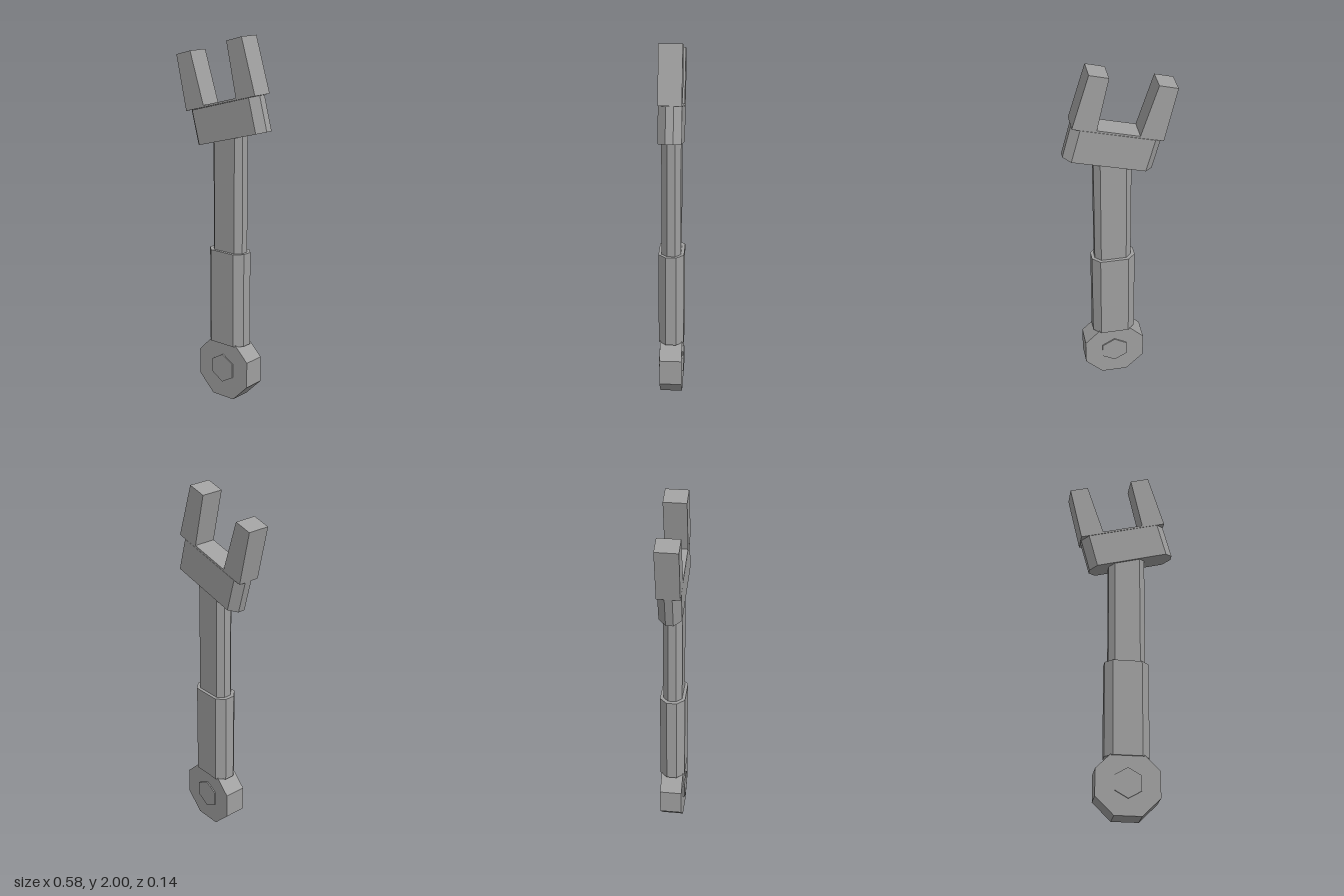
import * as THREE from 'three';

export function createModel() {
  const grey = new THREE.MeshStandardMaterial({ color: 0xa0a0a0 });
  grey.name = 'grey metal';
  const model = new THREE.Group();
  model.name = 'wrench';

  const add = (name, geometry) => {
    const mesh = new THREE.Mesh(geometry, grey);
    mesh.name = name;
    model.add(mesh);
    return mesh;
  };

  const shapeOf = (points) => new THREE.Shape(points.map(([x, y]) => new THREE.Vector2(x, y)));

  // Flat plate cut from an outline, centred on z = 0
  const plate = (points, depth) =>
    new THREE.ExtrudeGeometry(shapeOf(points), { depth, bevelEnabled: false }).translate(0, 0, -depth / 2);

  // Upright bar whose four long edges are chamfered; starts at y = 0
  const chamferedBar = (halfWidth, halfDepth, chamfer, height) => {
    const w = halfWidth, d = halfDepth, c = chamfer;
    const outline = [
      [-w + c, -d], [w - c, -d], [w, -d + c], [w, d - c],
      [w - c, d], [-w + c, d], [-w, d - c], [-w, -d + c],
    ];
    return new THREE.ExtrudeGeometry(shapeOf(outline), { depth: height, bevelEnabled: false })
      .rotateX(-Math.PI / 2);
  };

  // Octagonal end with a flat at the bottom
  const r = 0.169, k = 0.072;
  add('endRing', plate([
    [-k, -r], [k, -r], [r, -k], [r, k], [k, r], [-k, r], [-r, k], [-r, -k],
  ], 0.122)).position.set(0.031, r, 0);

  // Hexagonal bolt through the end
  const hexagon = Array.from({ length: 6 }, (_, i) => {
    const a = Math.PI / 2 + (i * Math.PI) / 3;
    return [0.081 * Math.cos(a), 0.081 * Math.sin(a)];
  });
  add('bolt', plate(hexagon, 0.136)).position.set(0.031, 0.17, 0);

  // Thick grip and slimmer shaft
  add('grip', chamferedBar(0.119, 0.069, 0.041, 0.527)).position.set(0.03, 0.315, 0);
  add('shaft', chamferedBar(0.1, 0.052, 0.031, 0.64)).position.set(0.032, 0.84, 0);

  // Tilted head block
  const head = add('headBlock', chamferedBar(0.2405, 0.061, 0.041, 0.19));
  head.position.set(0.0575, 1.459, 0);
  head.rotation.z = 0.26;

  // Open jaw with two square prongs
  add('jaw', plate([
    [-0.227, 1.582], [0.243, 1.706], [0.153, 2.0], [0.053, 1.973],
    [0.117, 1.684], [-0.105, 1.625], [-0.196, 1.906], [-0.294, 1.88],
  ], 0.122));

  return model;
}
